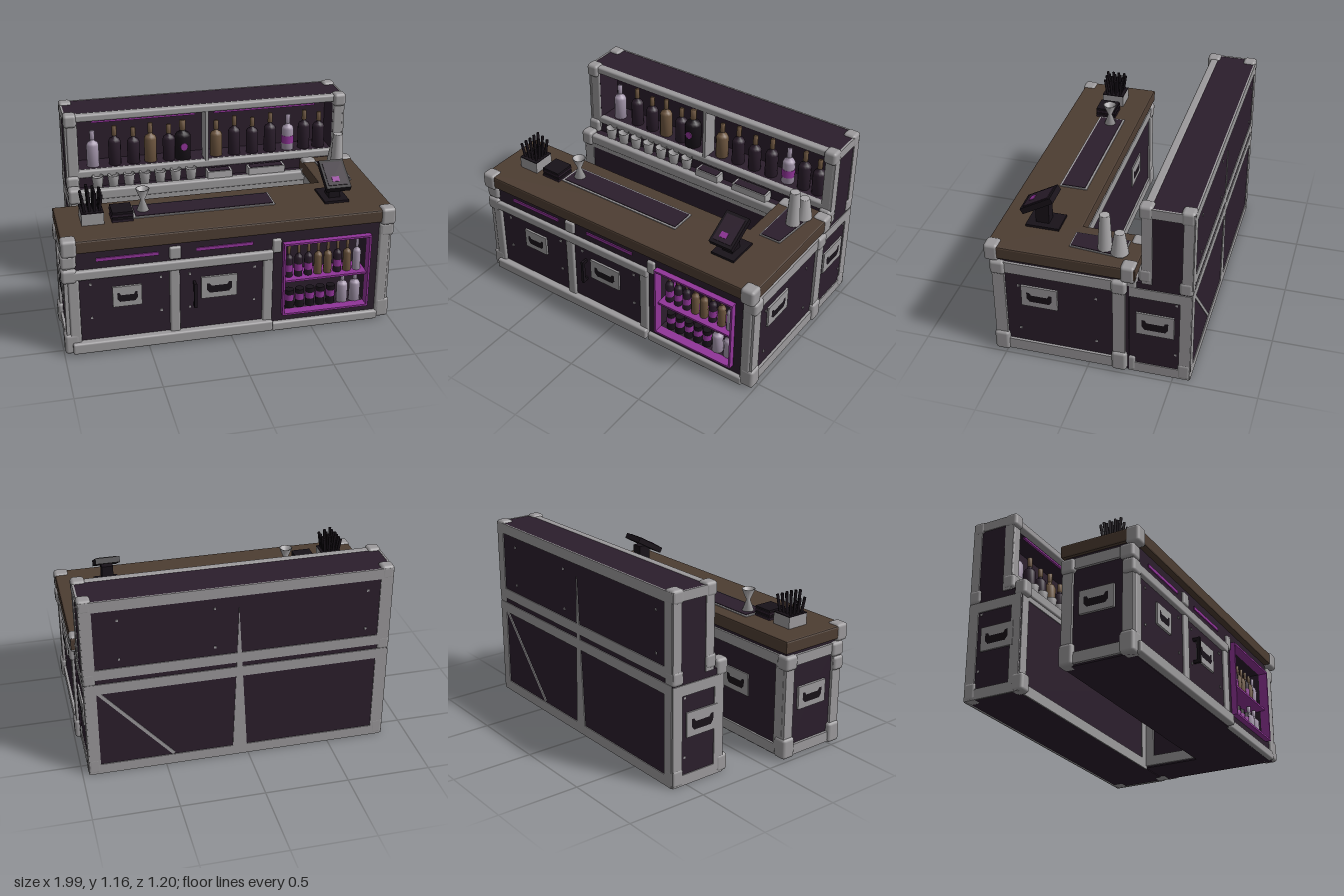
import * as THREE from 'three';
import { RoundedBoxGeometry } from 'three/addons/geometries/RoundedBoxGeometry.js';

const mat = (name, color) => {
  const m = new THREE.MeshStandardMaterial({ color });
  m.name = name;
  return m;
};
const purple = mat('dark purple panel', 0x2b1e2c);
const black = mat('near black', 0x181219);
const gray = mat('gray metal', 0x9b999b);
const steel = mat('light steel', 0xaaa8aa);
const brown = mat('brown wood', 0x4d3d32);
const magenta = mat('magenta light', 0x903498);
const amber = mat('amber glass', 0x705841);
const lilac = mat('pale lilac glass', 0xa698ae);
// Open glass and sheet parts are visible from both sides
for (const m of [steel, amber, lilac]) m.side = THREE.DoubleSide;

export function createModel() {
  const model = new THREE.Group();
  model.name = 'mobileBar';

  const add = (name, geo, m, x = 0, y = 0, z = 0, parent = model) => {
    const mesh = new THREE.Mesh(geo, m);
    mesh.name = name;
    mesh.position.set(x, y, z);
    parent.add(mesh);
    return mesh;
  };
  // Box from its two extremes on every axis
  const box = (name, m, x0, x1, y0, y1, z0, z1, parent) =>
    add(name, new THREE.BoxGeometry(x1 - x0, y1 - y0, z1 - z0), m,
      (x0 + x1) / 2, (y0 + y1) / 2, (z0 + z1) / 2, parent);
  const rounded = (name, x0, x1, y0, y1, z0, z1, r = 0.012) =>
    add(name, new RoundedBoxGeometry(x1 - x0, y1 - y0, z1 - z0, 2, r), gray,
      (x0 + x1) / 2, (y0 + y1) / 2, (z0 + z1) / 2);
  const cap = (x, y, z, w = 0.09, h = 0.11, d = 0.09) =>
    rounded('cornerCap', x - w / 2, x + w / 2, y - h / 2, y + h / 2, z - d / 2, z + d / 2, 0.02);
  const lathe = (name, m, pts, x, y, z, seg = 12, parent = model) =>
    add(name, new THREE.LatheGeometry(pts.map(p => new THREE.Vector2(...p)), seg), m, x, y, z, parent);
  const polygon = (pts, P = THREE.Shape) => {
    const s = new P();
    pts.forEach(([u, v], i) => s[i ? 'lineTo' : 'moveTo'](u, v));
    s.closePath();
    return s;
  };
  const rect = (x0, x1, y0, y1) => [[x0, y0], [x1, y0], [x1, y1], [x0, y1]];
  // Panel with a rectangular opening, extruded along z
  const opening = (name, m, o, h, z0, z1) => {
    const s = polygon(rect(...o));
    s.holes.push(polygon(rect(...h), THREE.Path));
    return add(name, new THREE.ExtrudeGeometry(s, { depth: z1 - z0, bevelEnabled: false }), m, 0, 0, z0);
  };
  // Flat slab lying on a surface; outline given as x, -z
  const slab = (name, m, pts, y, depth, bevel = 0) => {
    const geo = new THREE.ExtrudeGeometry(polygon(pts), {
      depth, bevelEnabled: bevel > 0, bevelSize: bevel, bevelThickness: bevel, bevelSegments: 2 });
    geo.rotateX(-Math.PI / 2);
    return add(name, geo, m, 0, y, 0);
  };
  // Metal rails round one upright face: axis is the direction the face looks along,
  // edges picks bottom, top, low end and high end
  const faceRails = (axis, p, a0, a1, y0, y1, { w = 0.065, t = 0.012, edges = 'btlh' } = {}) => {
    const bar = (key, s0, s1, t0, t1) => {
      if (!edges.includes(key)) return;
      if (axis === 'z') box('edgeRail', gray, s0, s1, t0, t1, p - t, p + t);
      else box('edgeRail', gray, p - t, p + t, t0, t1, s0, s1);
    };
    bar('b', a0, a1, y0, y0 + w);
    bar('t', a0, a1, y1 - w, y1);
    bar('l', a0, a0 + w, y0, y1);
    bar('h', a1 - w, a1, y0, y1);
  };
  // Recessed case handle
  const handle = (x, y, z, turn, w = 0.215, h = 0.14) => {
    const g = new THREE.Group();
    g.name = 'caseHandle';
    box('handlePlate', gray, -w / 2, w / 2, -h / 2, h / 2, -0.01, 0.008, g);
    const recess = [[-0.35, 0.2], [-0.35, -0.1], [-0.27, -0.25], [0.27, -0.25], [0.35, -0.1], [0.35, 0.2],
      [0.27, 0.2], [0.22, 0.08], [-0.22, 0.08], [-0.27, 0.2]].map(([u, v]) => [u * w, v * h]);
    add('handleRecess', new THREE.ShapeGeometry(polygon(recess)), black, 0, 0, 0.0095, g);
    g.position.set(x, y, z);
    g.rotation.y = turn;
    model.add(g);
  };
  const stud = (x, y, z, side) => {
    const s = add('stud', new THREE.BoxGeometry(0.013, 0.013, 0.006), gray, x, y, z);
    if (side) s.rotation.y = Math.PI / 2;
  };
  const bottle = (m, x, y, z, r, h, label) => {
    const g = new THREE.Group();
    g.name = 'bottle';
    g.position.set(x, y, z);
    model.add(g);
    lathe('bottleBody', m, [[0, 0], [r, 0], [r, h * 0.6], [r * 0.8, h * 0.67], [r * 0.36, h * 0.71], [r * 0.34, h * 0.78]], 0, 0, 0, 12, g);
    lathe('bottleCap', m === lilac ? lilac : amber, [[0, h * 0.76], [r * 0.4, h * 0.76], [r * 0.4, h], [0, h]], 0, 0, 0, 8, g);
    if (label) add('bottleLabel', new THREE.CylinderGeometry(r * 1.05, r * 1.05, h * 0.22, 12), label, 0, h * 0.3, 0, g);
  };

  // Front counter body with chiller opening, and side return
  box('counterBody', purple, -0.965, 0.25, 0.02, 0.7, 0.13, 0.55);
  box('chillerBack', purple, 0.25, 0.965, 0.02, 0.7, 0.13, 0.4);
  opening('chillerFront', purple, [0.25, 0.965, 0.02, 0.7], [0.32, 0.84, 0.13, 0.59], 0.4, 0.55);
  box('returnBody', purple, 0.69, 0.965, 0.02, 0.7, -0.24, 0.13);

  // L-shaped wooden top
  slab('counterTop', brown, [[-0.975, -0.58], [0.975, -0.58], [0.975, 0.27], [0.67, 0.27], [0.67, -0.12], [-0.975, -0.12]],
    0.69, 0.06, 0.01);
  for (const [x, z] of [[-0.945, 0.557], [0.945, 0.557], [0.945, -0.235], [0.705, -0.235]])
    cap(x, 0.716, z, 0.09, 0.108, 0.085);

  // Rails, caps and handles of the front counter
  faceRails('x', 0.969, -0.22, 0.56, 0.03, 0.66, { w: 0.072 });
  faceRails('x', -0.969, 0.12, 0.56, 0.03, 0.66);
  faceRails('z', 0.13, -0.96, 0.69, 0.03, 0.66);
  faceRails('x', 0.69, -0.24, 0.12, 0.03, 0.66);
  for (const y of [0.085, 0.62])
    for (const [x, z] of [[-0.95, 0.525], [0.95, 0.525], [0.95, -0.185], [-0.95, 0.155]])
      cap(x, y, z, 0.09, y < 0.1 ? 0.13 : 0.09, 0.09);
  cap(-0.95, 0.53, 0.535, 0.09, 0.09, 0.08);
  const f0 = 0.535, f1 = 0.568;
  rounded('frontMidRail', -0.95, 0.25, 0.5, 0.56, f0, 0.575);
  rounded('frontBottomRail', -0.95, 0.25, 0.025, 0.095, f0, 0.592);
  rounded('chillerBottomRail', 0.25, 0.92, 0.012, 0.07, f0, 0.575);
  for (const [x0, x1, y1] of [[-0.96, -0.895, 0.5], [-0.37, -0.31, 0.51], [0.19, 0.25, 0.56], [0.905, 0.968, 0.66]])
    rounded('frontUpright', x0, x1, 0.05, y1, f0, f1);
  rounded('drawerLatch', -0.37, -0.3, 0.57, 0.65, f0, f1);
  rounded('drawerLatch', 0.245, 0.3, 0.54, 0.63, f0, f1);
  for (const [x0, x1] of [[-0.79, -0.43], [-0.21, 0.13]])
    box('drawerLight', magenta, x0, x1, 0.605, 0.625, 0.55, 0.557);
  handle(-0.62, 0.365, 0.555, 0, 0.17, 0.13);
  handle(-0.075, 0.36, 0.555, 0);
  box('doorPull', black, -0.232, -0.215, 0.25, 0.41, 0.575, 0.595);
  for (const y of [0.26, 0.4]) box('doorPullMount', black, -0.23, -0.217, y - 0.01, y + 0.01, 0.55, 0.58);
  for (const x of [-0.83, -0.42, -0.25, 0.14]) for (const y of [0.24, 0.46]) stud(x, y, 0.552);
  handle(0.969, 0.44, 0.285, Math.PI / 2);
  handle(-0.972, 0.38, 0.335, -Math.PI / 2);
  handle(-0.55, 0.38, 0.13, Math.PI);
  for (const z of [0.41, -0.05]) for (const y of [0.19, 0.5]) stud(0.967, y, z, true);

  // Lit chiller with bottles and cans
  opening('chillerFrame', magenta, [0.31, 0.85, 0.12, 0.6], [0.322, 0.838, 0.132, 0.588], 0.53, 0.586);
  box('chillerShelf', magenta, 0.32, 0.84, 0.33, 0.343, 0.41, 0.56);
  box('chillerLight', magenta, 0.32, 0.34, 0.13, 0.59, 0.402, 0.42);
  const row = [purple, purple, purple, amber, amber, purple, amber, lilac];
  row.forEach((m, i) => bottle(m, 0.365 + i * 0.061, 0.343, 0.5, 0.025, 0.2, m === purple ? magenta : null));
  for (let i = 0; i < 5; i++) {
    add('can', new THREE.CylinderGeometry(0.027, 0.027, 0.12, 10), black, 0.375 + i * 0.065, 0.19, 0.5);
    add('canBand', new THREE.CylinderGeometry(0.028, 0.028, 0.04, 10), magenta, 0.375 + i * 0.065, 0.2, 0.5);
  }
  for (const x of [0.71, 0.79]) bottle(lilac, x, 0.13, 0.5, 0.034, 0.19);

  // Rear cabinet: base, work shelf and open display case
  box('rearBase', purple, -0.845, 0.955, 0.015, 0.66, -0.594, -0.235);
  box('rearWorkShelf', purple, -0.83, 0.94, 0.655, 0.675, -0.32, -0.26);
  rounded('rearShelfEdge', -0.83, 0.94, 0.625, 0.69, -0.27, -0.22);
  box('displayBack', purple, -0.845, 0.955, 0.66, 1.158, -0.594, -0.5);
  opening('displayCase', purple, [-0.845, 0.955, 0.66, 1.158], [-0.77, 0.89, 0.785, 1.12], -0.5, -0.32);
  faceRails('z', -0.594, -0.84, 0.955, 0.01, 0.63, { t: 0.005 });
  faceRails('z', -0.594, -0.84, 0.955, 0.66, 1.16, { t: 0.005 });
  faceRails('z', -0.235, -0.84, 0.69, 0.01, 0.66, { t: 0.005 });
  for (const x of [-0.845, 0.955]) {
    const s = Math.sign(x);
    faceRails('x', x, -0.595, -0.235, 0.01, 0.62, { t: 0.006, edges: s > 0 ? 'btl' : 'btlh' });
    faceRails('x', x, -0.595, -0.31, 0.66, 1.16, { t: 0.006, w: 0.058, edges: 'tlh' });
    for (const [y, z, h] of [[0.065, -0.56, 0.11], [0.065, -0.24, 0.11], [0.665, -0.56, 0.09],
      [0.66, -0.245, 0.1], [1.13, -0.56, 0.085], [1.13, -0.33, 0.085], [0.715, -0.33, 0.09]])
      cap(x - s * 0.03, y, z, 0.08, h, 0.08);
    handle(x + s * 0.002, 0.375, -0.39, s * Math.PI / 2, 0.22, 0.15);
    for (const y of [0.18, 0.54]) stud(x, y, -0.51, true);
  }
  rounded('displayTopRail', -0.8, 0.92, 1.115, 1.162, -0.36, -0.31);
  rounded('displaySill', -0.8, 0.92, 0.74, 0.79, -0.35, -0.31);
  for (const [x0, x1] of [[-0.84, -0.77], [0.89, 0.955]])
    rounded('displayUpright', x0, x1, 0.7, 1.13, -0.35, -0.31);
  box('displayDivider', gray, 0.04, 0.06, 0.78, 1.12, -0.42, -0.312);
  for (const [x0, x1] of [[-0.68, -0.02], [0.1, 0.77]])
    box('displayLight', magenta, x0, x1, 1.093, 1.106, -0.36, -0.345);

  // Tapered centre strip and diagonal brace on the rear face
  add('rearCentreStrip', new THREE.ExtrudeGeometry(polygon([[-0.045, 0.02], [0.045, 0.02], [0.01, 1.02]]),
    { depth: 0.008, bevelEnabled: false }), gray, 0.05, 0, -0.599);
  const brace = box('rearBrace', gray, -0.33, 0.33, -0.01, 0.01, -0.004, 0.004);
  brace.position.set(0.67, 0.33, -0.594);
  brace.rotation.z = 0.85;
  for (const x of [-0.7, 0.2, 0.75]) for (const y of [0.78, 1.03]) stud(x, y, -0.595);

  // Display bottles, one wide with a round badge
  const shelfRow = [[-0.67, lilac], [-0.53, purple], [-0.41, purple], [-0.3, amber], [-0.18, purple], [-0.09, black],
    [0.13, amber], [0.25, purple], [0.37, purple], [0.49, purple], [0.61, lilac], [0.72, purple], [0.82, purple]];
  shelfRow.forEach(([x, m], i) => bottle(m, x, 0.786, -0.4, m === black ? 0.052 : 0.04, 0.235 + 0.02 * (i % 2),
    i === 10 ? magenta : null));
  add('bottleBadge', new THREE.CylinderGeometry(0.024, 0.024, 0.006, 16), magenta, -0.09, 0.88, -0.347).rotation.x = Math.PI / 2;

  // Glasses and trays on the work shelf
  for (let i = 0; i < 7; i++)
    lathe('glass', steel, [[0, 0], [0.028, 0], [0.038, 0.08], [0.033, 0.08], [0.024, 0.01], [0, 0.01]],
      -0.66 + i * 0.1, 0.68, -0.285);
  for (const [x0, x1] of [[0.04, 0.2], [0.31, 0.55]]) {
    box('tray', steel, x0, x1, 0.67, 0.735, -0.31, -0.24);
    box('trayInset', purple, x0 + 0.012, x1 - 0.012, 0.735, 0.738, -0.302, -0.248);
  }

  // Bar mats
  const y = 0.76;
  box('matRim', gray, -0.54, 0.31, y, y + 0.006, 0.2, 0.37);
  box('mat', purple, -0.525, 0.3, y + 0.004, y + 0.01, 0.213, 0.357);
  slab('sideMatRim', gray, [[0.735, -0.13], [0.87, -0.13], [0.9, 0.19], [0.735, 0.19]], y, 0.006);
  slab('sideMat', purple, [[0.743, -0.122], [0.863, -0.122], [0.891, 0.182], [0.743, 0.182]], y, 0.01);

  // Jigger and upturned shakers
  lathe('jigger', steel, [[0, 0], [0.036, 0], [0.012, 0.065], [0.042, 0.135], [0.036, 0.135], [0, 0.08]], -0.47, y + 0.01, 0.28, 14);
  lathe('tallShaker', steel, [[0.042, 0], [0.03, 0.222], [0.027, 0.226], [0, 0.226]], 0.84, y + 0.01, -0.07, 16);
  lathe('shortShaker', steel, [[0.052, 0], [0.03, 0.132], [0.027, 0.136], [0, 0.136]], 0.86, y + 0.01, -0.16, 16);

  // Straw holder and napkins
  box('strawHolder', gray, -0.845, -0.715, y, 0.83, 0.26, 0.4);
  box('strawHolderInside', black, -0.845, -0.715, 0.83, 0.836, 0.26, 0.4);
  for (let i = 0; i < 16; i++) {
    const u = i % 4, v = Math.floor(i / 4);
    const straw = add('straw', new THREE.CylinderGeometry(0.009, 0.009, 0.13, 6), black,
      -0.828 + u * 0.032, 0.875 + 0.012 * ((i * 7) % 4 - 1), 0.283 + v * 0.032);
    straw.rotation.set((v - 1.5) * 0.08, 0, (1.5 - u) * 0.08);
  }
  for (let i = 0; i < 4; i++)
    box('napkin', i % 2 ? black : purple, -0.67 + 0.004 * (i % 2), -0.545, y + i * 0.016, y + i * 0.016 + 0.013, 0.27, 0.395);

  // Payment tablet on its stand
  box('tabletBase', black, 0.6, 0.75, y, y + 0.014, 0.23, 0.43);
  box('tabletStem', black, 0.64, 0.71, y, 0.9, 0.3, 0.38);
  const tablet = new THREE.Group();
  tablet.name = 'tablet';
  tablet.position.set(0.675, 0.91, 0.36);
  tablet.rotation.x = 0.52;
  model.add(tablet);
  box('tabletCase', black, -0.075, 0.075, -0.02, 0.016, -0.105, 0.105, tablet);
  box('tabletScreen', purple, -0.06, 0.06, 0.016, 0.02, -0.085, 0.085, tablet);
  box('screenPatch', magenta, -0.03, 0.015, 0.02, 0.023, 0.025, 0.06, tablet);

  return model;
}
